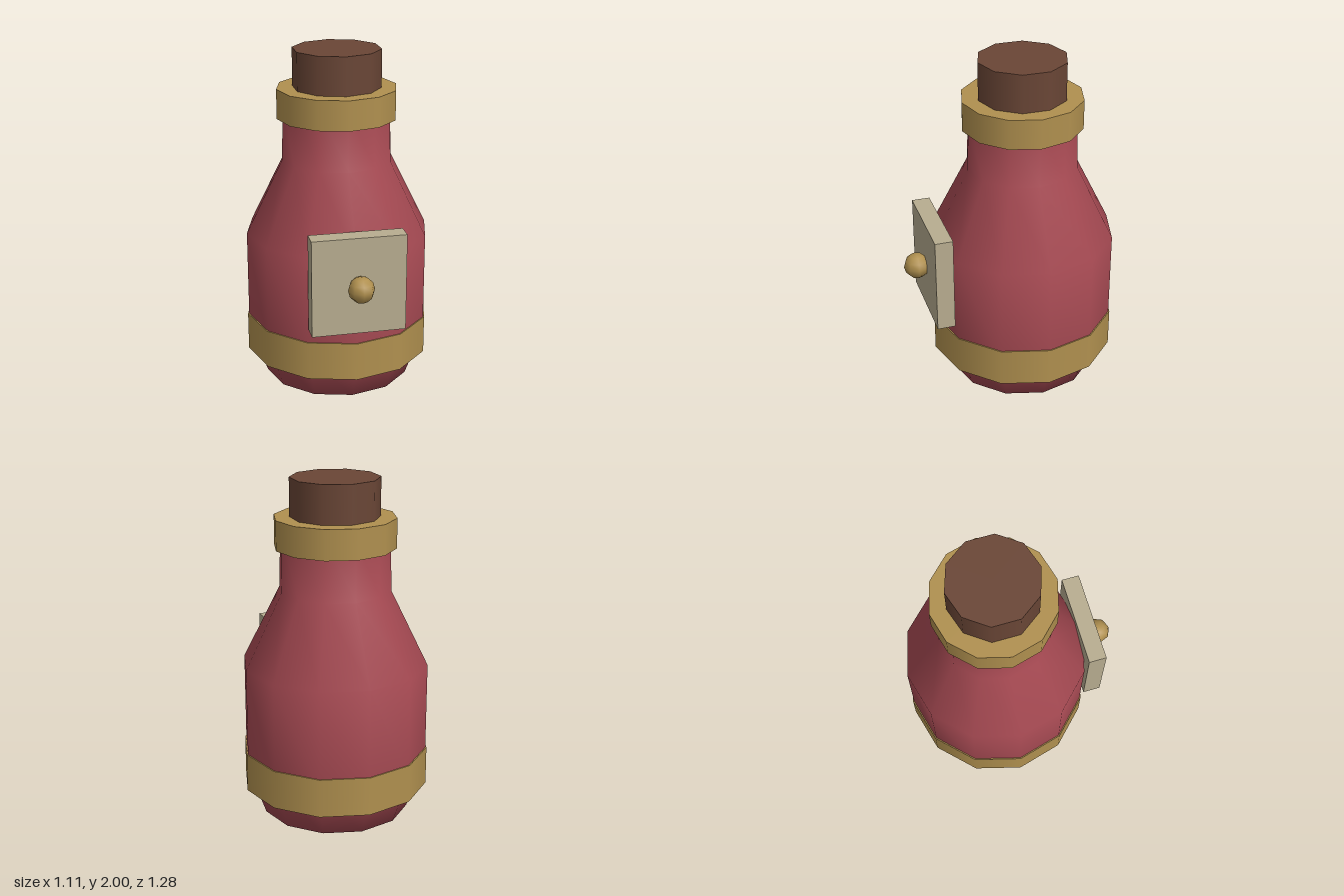
import * as THREE from 'three';

const paint = (name, color) => {
  const m = new THREE.MeshStandardMaterial({ color });
  m.name = name;
  return m;
};

export function createModel() {
  const red = paint('red glass', 0xa94b54);
  const gold = paint('gold', 0xb0904f);
  const brown = paint('cork brown', 0x6a4636);
  const cream = paint('label cream', 0xb8ad90);

  const model = new THREE.Group();
  model.name = 'bottle';
  const axisZ = -0.087; // the bottle sits slightly back, balancing the label

  const add = (name, geometry, material, x, y, z) => {
    const mesh = new THREE.Mesh(geometry, material);
    mesh.name = name;
    mesh.position.set(x, y, z);
    model.add(mesh);
  };
  const drum = (name, radius, y0, y1, sides, material) =>
    add(name, new THREE.CylinderGeometry(radius, radius, y1 - y0, sides), material, 0, (y0 + y1) / 2, axisZ);

  // Twelve-sided body: tapered foot, straight belly, sloping shoulder, neck
  const profile = [[0, 0], [0.44, 0], [0.547, 0.3], [0.547, 0.91], [0.328, 1.35], [0.318, 1.7]]
    .map(([r, y]) => new THREE.Vector2(r, y));
  add('body', new THREE.LatheGeometry(profile, 12), red, 0, 0, axisZ);

  // Metal bands and stopper
  drum('lowerBand', 0.554, 0.16, 0.39, 12, gold);
  drum('neckCollar', 0.355, 1.6, 1.775, 12, gold);
  drum('cork', 0.26, 1.7, 2, 10, brown);

  // Front label with a round stud
  add('label', new THREE.BoxGeometry(0.546, 0.576, 0.106), cream, 0, 0.77, 0.461);
  add('stud', new THREE.SphereGeometry(0.077, 8, 6), gold, 0, 0.77, 0.563);

  return model;
}
